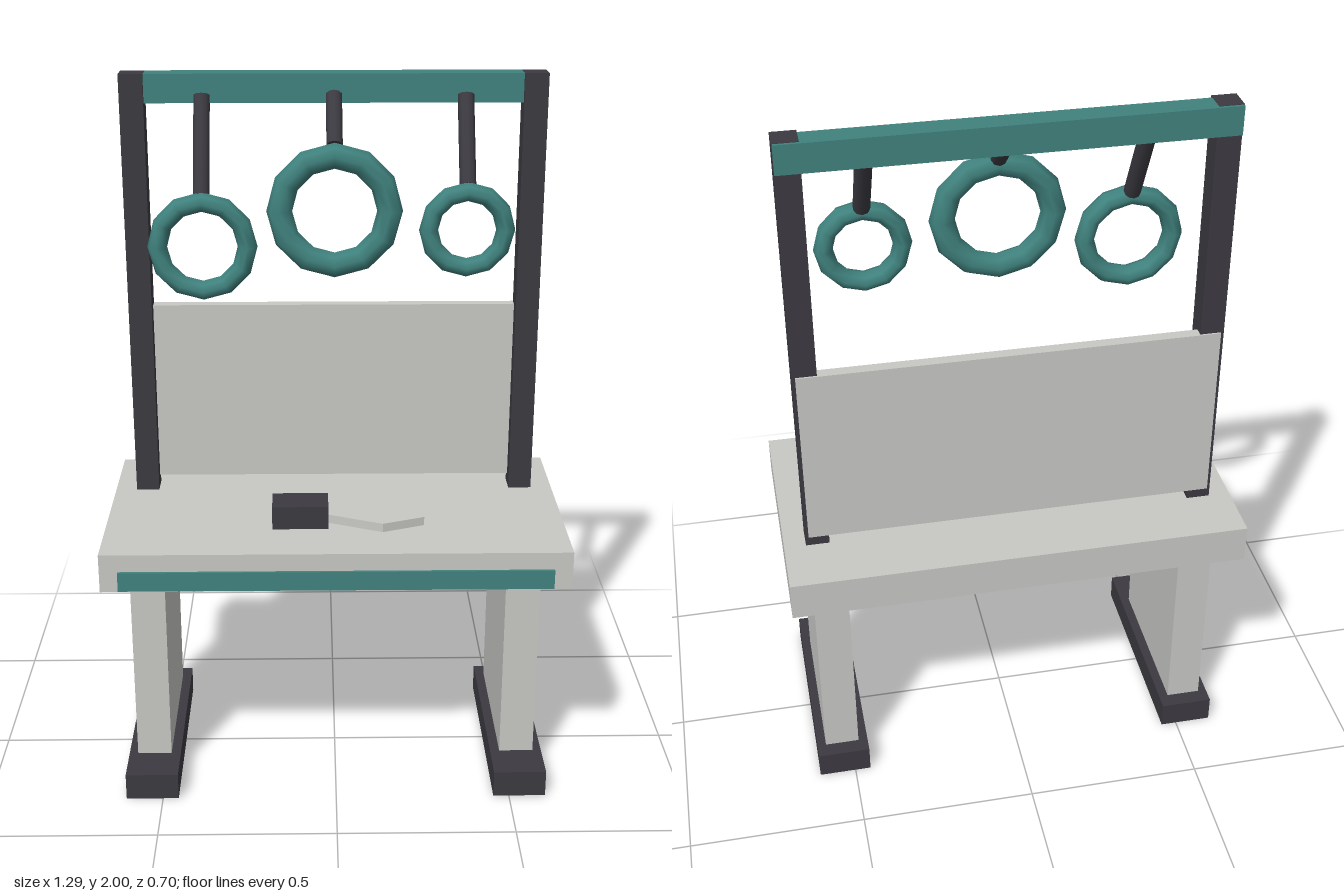
import * as THREE from 'three';

export function createModel() {
  const model = new THREE.Group();
  model.name = 'workbench';

  const mat = (name, color) => {
    const m = new THREE.MeshStandardMaterial({ color });
    m.name = name;
    return m;
  };
  const grey = mat('lightGrey', 0xc8c8c5);
  const teal = mat('teal', 0x40827e);
  const dark = mat('charcoal', 0x3c3a41);

  const add = (name, geometry, material) => {
    const mesh = new THREE.Mesh(geometry, material);
    mesh.name = name;
    model.add(mesh);
    return mesh;
  };

  // Box given by its extents along each axis
  const box = (name, material, [x0, x1], [y0, y1], [z0, z1]) => {
    const mesh = add(name, new THREE.BoxGeometry(x1 - x0, y1 - y0, z1 - z0), material);
    mesh.position.set((x0 + x1) / 2, (y0 + y1) / 2, (z0 + z1) / 2);
    return mesh;
  };

  // Table
  box('tableTop', grey, [-0.645, 0.645], [0.675, 0.785], [-0.352, 0.343]);
  box('frontStrip', teal, [-0.595, 0.595], [0.68, 0.735], [0.342, 0.351]);

  // Legs, feet and uprights, mirrored
  for (const [side, s] of [['left', 1], ['right', -1]]) {
    const span = (a, b) => (s > 0 ? [a, b] : [-b, -a]);
    box(side + 'Leg', grey, span(0.482, 0.58), [0.078, 0.676], [-0.258, 0.203]);
    box(side + 'Foot', dark, span(0.455, 0.605), [0, 0.078], [-0.302, 0.32]);
    box(side + 'Upright', dark, span(0.518, 0.584), [0.784, 2], [-0.182, -0.114]);
  }

  // Back panel and crossbeam
  box('backPanel', grey, [-0.575, 0.575], [0.815, 1.34], [-0.187, -0.155]);
  box('crossbeam', teal, [-0.583, 0.583], [1.92, 1.999], [-0.19, -0.125]);

  // Three rings, each held by a slanted arm
  const ringZ = 0.015;
  const rings = [
    { name: 'right', x: -0.36, y: 1.556, outer: 0.15, tube: 0.027 },
    { name: 'middle', x: 0, y: 1.653, outer: 0.185, tube: 0.035 },
    { name: 'left', x: 0.36, y: 1.6, outer: 0.131, tube: 0.026 },
  ];
  for (const { name, x, y, outer, tube } of rings) {
    const ring = add(name + 'Ring', new THREE.TorusGeometry(outer - tube, tube, 8, 12), teal);
    ring.position.set(x, y, ringZ);
    ring.scale.z = 0.031 / tube;

    const from = new THREE.Vector3(x, 1.94, -0.13);
    const to = new THREE.Vector3(x, y + outer - 0.012, 0);
    const along = to.clone().sub(from);
    const arm = add(name + 'Arm', new THREE.CylinderGeometry(0.023, 0.023, along.length(), 10), dark);
    arm.position.copy(from).add(to).multiplyScalar(0.5);
    arm.quaternion.setFromUnitVectors(new THREE.Vector3(0, 1, 0), along.normalize());
  }

  // Small block on the table
  box('block', dark, [-0.177, -0.02], [0.784, 0.852], [0.078, 0.178]);

  // Open four-cornered frame lying beside the block
  const corners = [[-0.025, 0.144], [0.152, 0.12], [0.249, 0.166], [0.131, 0.212]]
    .map(([x, z]) => new THREE.Vector2(x, -z));
  const centre = new THREE.Vector2(0.13, -0.162);
  const outline = new THREE.Shape(corners);
  outline.holes.push(new THREE.Path(corners.map((p) => p.clone().lerp(centre, 0.2))));
  const frameGeometry = new THREE.ExtrudeGeometry(outline, { depth: 0.025, bevelEnabled: false });
  frameGeometry.rotateX(-Math.PI / 2);
  add('openFrame', frameGeometry, grey).position.y = 0.79;

  return model;
}
